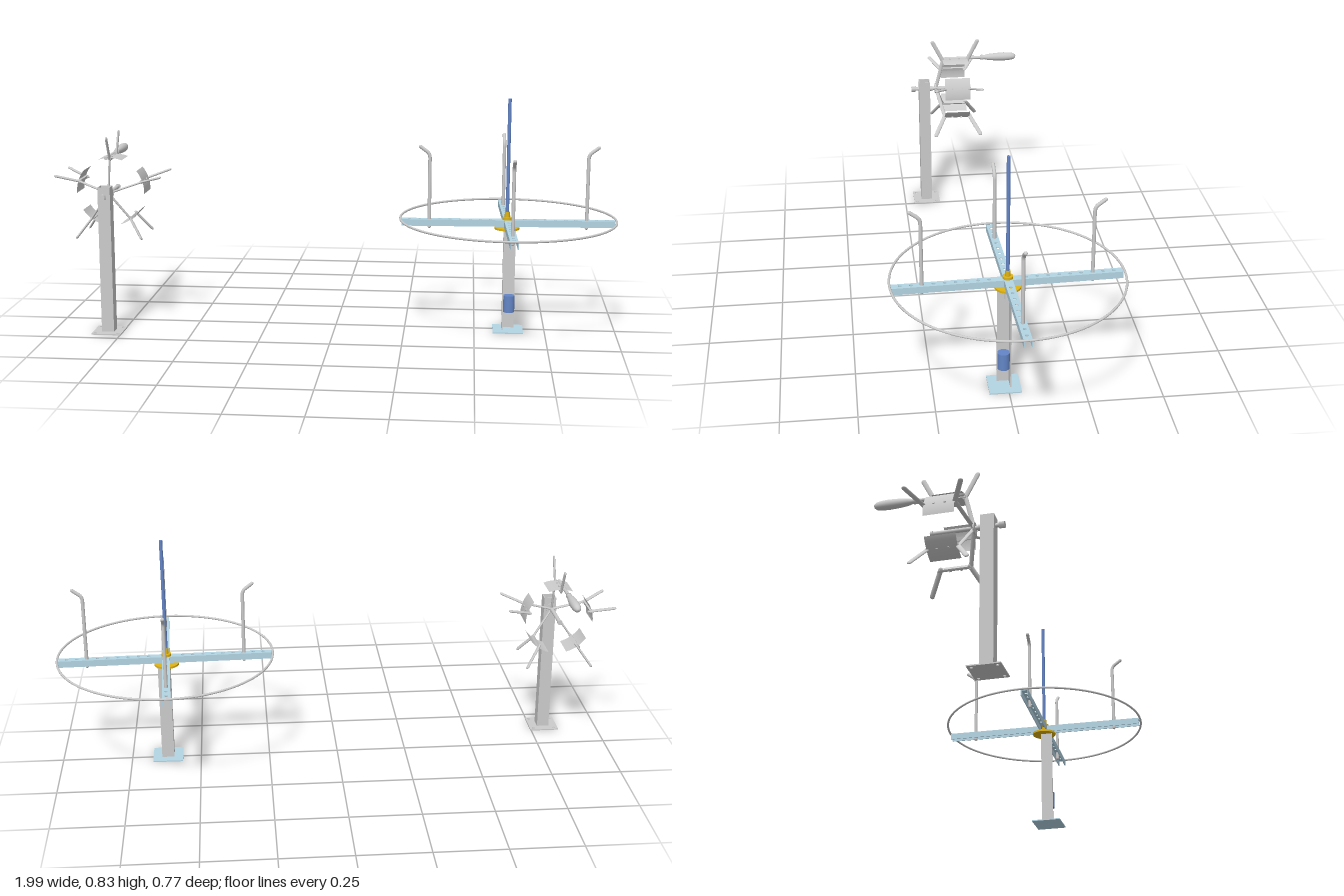
import * as THREE from 'three';

const mat = (color) => new THREE.MeshStandardMaterial({ color, side: THREE.DoubleSide });
const grey = mat(0xcccccc), paleBlue = mat(0xb4d5e4), blue = mat(0x6385c6), yellow = mat(0xe0b414);

function add(parent, name, geometry, material, x = 0, y = 0, z = 0) {
  const mesh = new THREE.Mesh(geometry, material);
  mesh.name = name;
  mesh.position.set(x, y, z);
  parent.add(mesh);
  return mesh;
}

function group(parent, name, x = 0, y = 0, z = 0) {
  const g = new THREE.Group();
  g.name = name;
  g.position.set(x, y, z);
  parent.add(g);
  return g;
}

const box = (w, h, d) => new THREE.BoxGeometry(w, h, d);
const rod = (r, h, sides = 20) => new THREE.CylinderGeometry(r, r, h, sides);
const rodZ = (r, h, sides = 20) => rod(r, h, sides).rotateX(Math.PI / 2);

// Rounded flat bar in the yz plane between two [z, y] points
function flatBar(parent, name, a, b, radius) {
  const dz = b[0] - a[0], dy = b[1] - a[1];
  const geo = new THREE.CapsuleGeometry(radius, Math.hypot(dz, dy), 5, 14);
  geo.scale(0.5, 1, 1).rotateX(Math.atan2(dz, dy));
  add(parent, name, geo, grey, 0, (a[1] + b[1]) / 2, (a[0] + b[0]) / 2);
}

// Vertical extrusion of a shape drawn in x and -z
function extrudeUp(shape, height) {
  return new THREE.ExtrudeGeometry(shape, { depth: height, bevelEnabled: false, curveSegments: 10 })
    .rotateX(-Math.PI / 2);
}

function polygon(points) {
  return new THREE.Shape(points.map(([x, y]) => new THREE.Vector2(x, y)));
}

const square = (s) => polygon([[-s, -s], [s, -s], [s, s], [-s, s]]);

function hole(shape, x, y, r) {
  const path = new THREE.Path();
  path.absarc(x, y, r, 0, Math.PI * 2, true);
  shape.holes.push(path);
}

// Hand-cranked reel on a square post
function buildReel(root) {
  const reel = group(root, 'reelStand', -0.8, 0, 0);

  const plate = square(0.053);
  for (const x of [-1, 1]) for (const y of [-1, 1]) hole(plate, x * 0.04, y * 0.04, 0.005);
  add(reel, 'reelBasePlate', extrudeUp(plate, 0.004), grey, 0, 0, 0.16);
  const tube = square(0.022);
  tube.holes.push(square(0.019));
  add(reel, 'reelPost', extrudeUp(tube, 0.523), grey, 0, 0.003, 0.16);

  // Axle, collar and end nut
  const axis = 0.493;
  add(reel, 'axle', rodZ(0.007, 0.235), grey, 0, axis, 0.09);
  add(reel, 'axleNut', rodZ(0.012, 0.018, 6), grey, 0, axis, 0.203);
  add(reel, 'axleCollar', rodZ(0.01, 0.012), grey, 0, axis, 0.132);
  add(reel, 'hubDisc', rodZ(0.02, 0.005), grey, 0, axis, 0.115);
  add(reel, 'axleCap', rodZ(0.009, 0.008), grey, 0, axis, -0.024);

  // Five arms, each with a leg, a curved saddle and two flared fingers
  for (let i = 0; i < 5; i++) {
    const arm = group(reel, 'reelArm', 0, axis, 0);
    arm.rotation.z = (i * Math.PI * 2) / 5;
    flatBar(arm, 'armLeg', [0.113, 0], [0.085, 0.115], 0.007);
    flatBar(arm, 'rearFinger', [0.082, 0.115], [0.123, 0.195], 0.008);
    flatBar(arm, 'frontFinger', [-0.014, 0.115], [-0.055, 0.195], 0.008);
    add(arm, 'armCrossbar', box(0.012, 0.007, 0.104), grey, 0, 0.118, 0.034);
    const saddle = new THREE.CylinderGeometry(0.122, 0.122, 0.1, 16, 1, true, Math.PI - 0.36, 0.72);
    saddle.rotateX(Math.PI / 2);
    add(arm, 'armSaddle', saddle, grey, 0, 0, 0.034);
    for (const z of [0.017, 0.053]) add(arm, 'saddleRivet', rod(0.004, 0.006, 10), grey, 0, 0.122, z);
  }

  // Crank handle, swept round its own axis
  const crank = group(reel, 'crankHandle', -0.014, 0.613, 0);
  add(crank, 'crankRod', rodZ(0.006, 0.17), grey, 0, 0, -0.002);
  const profile = [[0, 0.07], [0.01, 0.07], [0.01, 0.08], [0.008, 0.085], [0.012, 0.1], [0.015, 0.13],
    [0.0165, 0.165], [0.015, 0.19], [0.012, 0.205], [0.006, 0.212], [0, 0.213]];
  const grip = new THREE.LatheGeometry(profile.map(([r, l]) => new THREE.Vector2(r, l)), 24);
  add(crank, 'crankGrip', grip.rotateX(-Math.PI / 2), grey);
}

// Turntable with four arms, a rim and a tall mast
function buildTurntable(root) {
  const stand = group(root, 'turntableStand');
  const cx = 0.62, cz = 0.0115;

  add(stand, 'turntableBasePlate', extrudeUp(square(0.054), 0.004), paleBlue, cx, 0, cz);
  // Angle-section post, open towards the front left
  const angle = polygon([[-0.022, -0.022], [-0.018, -0.022], [-0.018, 0.018], [0.022, 0.018], [0.022, 0.022], [-0.022, 0.022]]);
  add(stand, 'anglePost', extrudeUp(angle, 0.364), grey, cx, 0.003, cz);
  add(stand, 'counterweight', rod(0.0205, 0.06, 28), blue, cx + 0.002, 0.098, cz + 0.002);

  const table = group(stand, 'turntable', 0.612, 0, 0);
  add(table, 'mastSocket', rod(0.01, 0.05), grey, -0.002, 0.349, 0);
  add(table, 'mast', rod(0.006, 0.5), blue, -0.002, 0.582, 0);
  add(table, 'bearingDisc', rod(0.044, 0.007, 32), yellow, -0.002, 0.371, 0);
  add(table, 'hubSleeve', rod(0.009, 0.056, 20), yellow, -0.002, 0.402, 0);
  add(table, 'hubCollar', rod(0.017, 0.012, 24), yellow, -0.002, 0.404, 0);

  const rim = new THREE.TorusGeometry(0.381, 0.004, 10, 96).rotateX(Math.PI / 2);
  add(table, 'rim', rim, grey, 0, 0.404, 0);

  // Perforated channel arms with upright bent pegs
  const top = polygon([[0.012, -0.014], [0.377, -0.014], [0.377, 0.014], [0.012, 0.014]]);
  for (let i = 0; i < 9; i++) hole(top, 0.06 + i * 0.036, 0, 0.006);
  const topGeo = extrudeUp(top, 0.003);

  const peg = new THREE.CurvePath();
  const p = (x, y) => new THREE.Vector3(x, y, 0);
  peg.add(new THREE.LineCurve3(p(0.278, 0.373), p(0.278, 0.622)));
  peg.add(new THREE.QuadraticBezierCurve3(p(0.278, 0.622), p(0.279, 0.636), p(0.288, 0.643)));
  peg.add(new THREE.LineCurve3(p(0.288, 0.643), p(0.312, 0.661)));
  const pegGeo = new THREE.TubeGeometry(peg, 60, 0.0062, 12);
  const tipGeo = new THREE.SphereGeometry(0.0062, 12, 8);

  for (let i = 0; i < 4; i++) {
    const arm = group(table, 'turntableArm');
    arm.rotation.y = 0.035 + (i * Math.PI) / 2;
    add(arm, 'armTop', topGeo, paleBlue, 0, 0.3985, 0);
    for (const s of [-1, 1]) add(arm, 'armFlange', box(0.365, 0.022, 0.003), paleBlue, 0.1945, 0.389, s * 0.0125);
    add(arm, 'peg', pegGeo, grey);
    add(arm, 'pegTip', tipGeo, grey, 0.312, 0.661, 0);
    add(arm, 'pegFoot', tipGeo, grey, 0.278, 0.374, 0);
  }
}

export function createModel() {
  const root = new THREE.Group();
  root.name = 'reelAndTurntable';
  buildReel(root);
  buildTurntable(root);
  return root;
}
